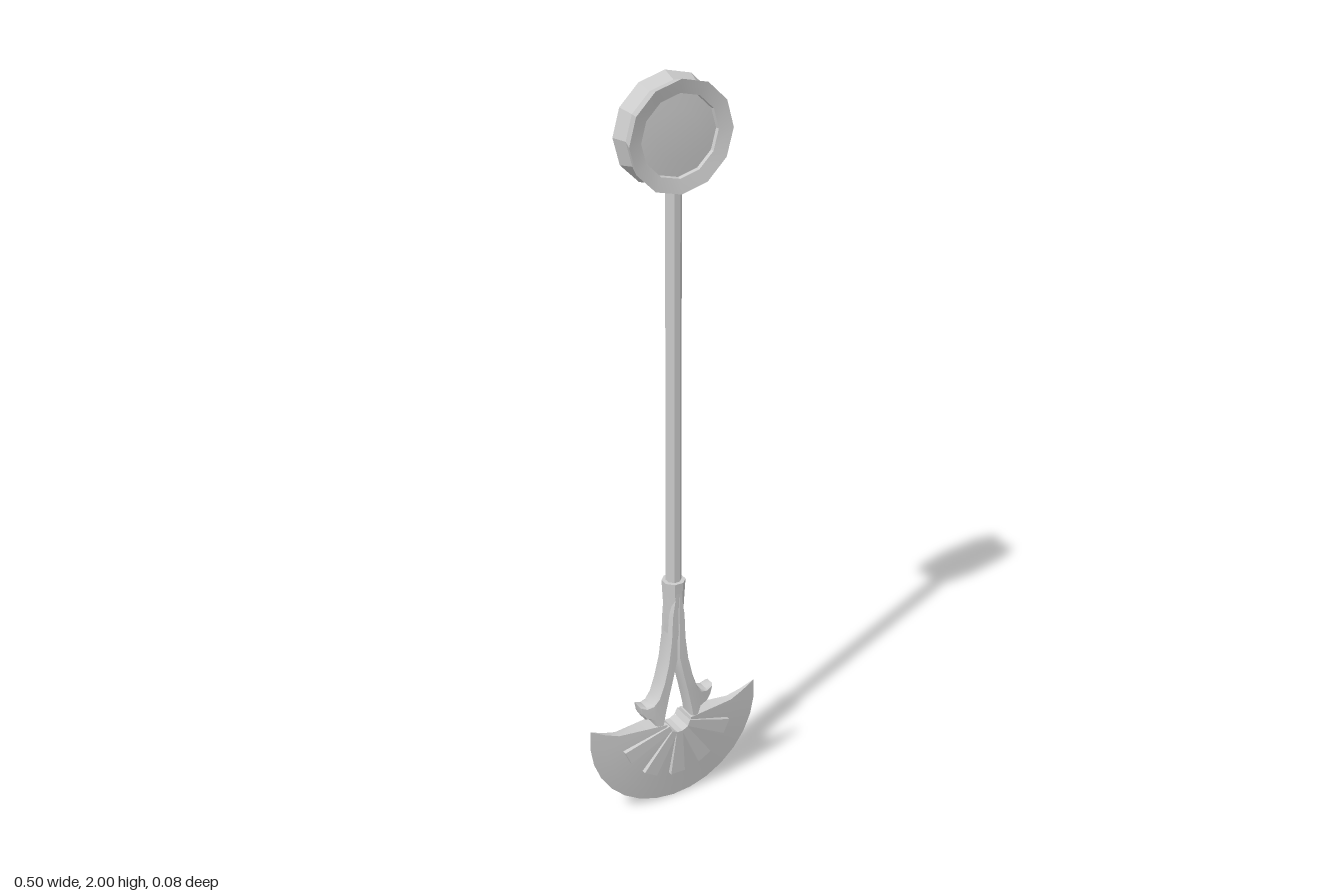
import * as THREE from 'three';
import { toCreasedNormals } from 'three/addons/utils/BufferGeometryUtils.js';

const BLADE_Y = 0.25, BLADE_R = 0.25;
const bladeHalf = r => 0.14 * (BLADE_R - r); // half thickness, tapering to the cutting edge

export function createModel() {
  const group = new THREE.Group();
  const material = new THREE.MeshStandardMaterial({ color: 0xcccccc, side: THREE.DoubleSide });
  const add = (name, geometry, crease = 0.5) => {
    const mesh = new THREE.Mesh(toCreasedNormals(geometry, crease), material);
    mesh.name = name;
    group.add(mesh);
    return mesh;
  };
  const lathe = (points, sides) =>
    new THREE.LatheGeometry(points.map(p => new THREE.Vector2(...p)), sides);

  // Eight-sided shaft and the flared collar at the head of the fork
  add('shaft', new THREE.CylinderGeometry(0.02, 0.02, 1.28, 8).rotateY(Math.PI / 8).translate(0, 1.1, 0));
  add('collar', lathe([[0, 0.45], [0.018, 0.46], [0.026, 0.52], [0.026, 0.58], [0.031, 0.665], [0.02, 0.665]], 8)
    .rotateY(Math.PI / 8));

  // Pommel disc: waisted rim, shallow dished faces
  const disc = lathe([[0, -0.026], [0.06, -0.025], [0.102, -0.022], [0.104, -0.031], [0.14, -0.039],
    [0.127, 0], [0.14, 0.039], [0.104, 0.031], [0.102, 0.022], [0.06, 0.025], [0, 0.026]], 12);
  add('pommelDisc', disc.rotateX(Math.PI / 2).translate(0, 1.86, 0), 0.3);

  // Crescent blade: a wedge profile swept around its centre
  const radii = [0.036, 0.09, 0.17, 0.21, BLADE_R];
  const profile = [...radii.map(r => [r, bladeHalf(r)]),
    ...radii.slice(0, -1).reverse().map(r => [r, -bladeHalf(r)])];
  const steps = 16, n = profile.length, position = [], index = [];
  for (let i = 0; i <= steps; i++) {
    for (const [r, z] of profile) {
      // the horns rise slightly towards the outer edge
      const spread = Math.PI / 2 + 0.13 * Math.max(0, (r - 0.17) / 0.08);
      const a = (i / steps * 2 - 1) * spread;
      position.push(r * Math.sin(a), BLADE_Y - r * Math.cos(a), z);
    }
  }
  for (let i = 0; i < steps; i++) {
    for (let j = 0; j < n; j++) {
      const a = i * n + j, b = i * n + (j + 1) % n;
      index.push(a, b, a + n, b, b + n, a + n);
    }
  }
  for (let j = 0; j < radii.length - 1; j++) {
    const a = j, b = j + 1, c = n - 1 - j, d = Math.max(n - 2 - j, j + 1), s = steps * n;
    index.push(a, c, b, b, c, d, s + a, s + b, s + c, s + b, s + d, s + c);
  }
  const blade = new THREE.BufferGeometry();
  blade.setAttribute('position', new THREE.Float32BufferAttribute(position, 3));
  blade.setIndex(index);
  add('blade', blade);

  // Five raised ribs fanning across both faces of the blade
  for (const degrees of [-65, -30, 0, 30, 65]) {
    const rib = new THREE.BoxGeometry(1, 1, 2);
    const p = rib.attributes.position;
    for (let i = 0; i < p.count; i++) {
      const outer = p.getY(i) < 0;
      p.setXYZ(i, p.getX(i) * (outer ? 0.042 : 0.018), outer ? -0.165 : -0.03,
        p.getZ(i) * (outer ? 0.024 : 0.034));
    }
    rib.rotateZ(degrees * Math.PI / 180).translate(0, BLADE_Y, 0);
    add('bladeRib', rib);
  }

  // Forked prongs ending in hooked spurs
  const outline = [[0, 0.65], [0.012, 0.63], [0.021, 0.57], [0.024, 0.5], [0.033, 0.43], [0.046, 0.375],
    [0.06, 0.335], [0.074, 0.318], [0.09, 0.314], [0.111, 0.322], [0.106, 0.297], [0.094, 0.278],
    [0.072, 0.27], [0.06, 0.24], [0.044, 0.235], [0.036, 0.28], [0.024, 0.335], [0.012, 0.385], [0, 0.44]];
  for (const side of [1, -1]) {
    const shape = new THREE.Shape(outline.map(([x, y]) => new THREE.Vector2(x * side, y)));
    const prong = new THREE.ExtrudeGeometry(shape, { depth: 1.4, bevelEnabled: true, bevelSegments: 1,
      bevelSize: 0.004, bevelOffset: -0.004, bevelThickness: 0.3 });
    prong.translate(0, 0, -0.7);
    const p = prong.attributes.position;
    for (let i = 0; i < p.count; i++) {
      const x = Math.abs(p.getX(i));
      p.setZ(i, p.getZ(i) * (0.027 - 0.16 * Math.max(0, x - 0.05)));
    }
    add(side > 0 ? 'leftProng' : 'rightProng', prong, 0.6);
  }
  return group;
}
